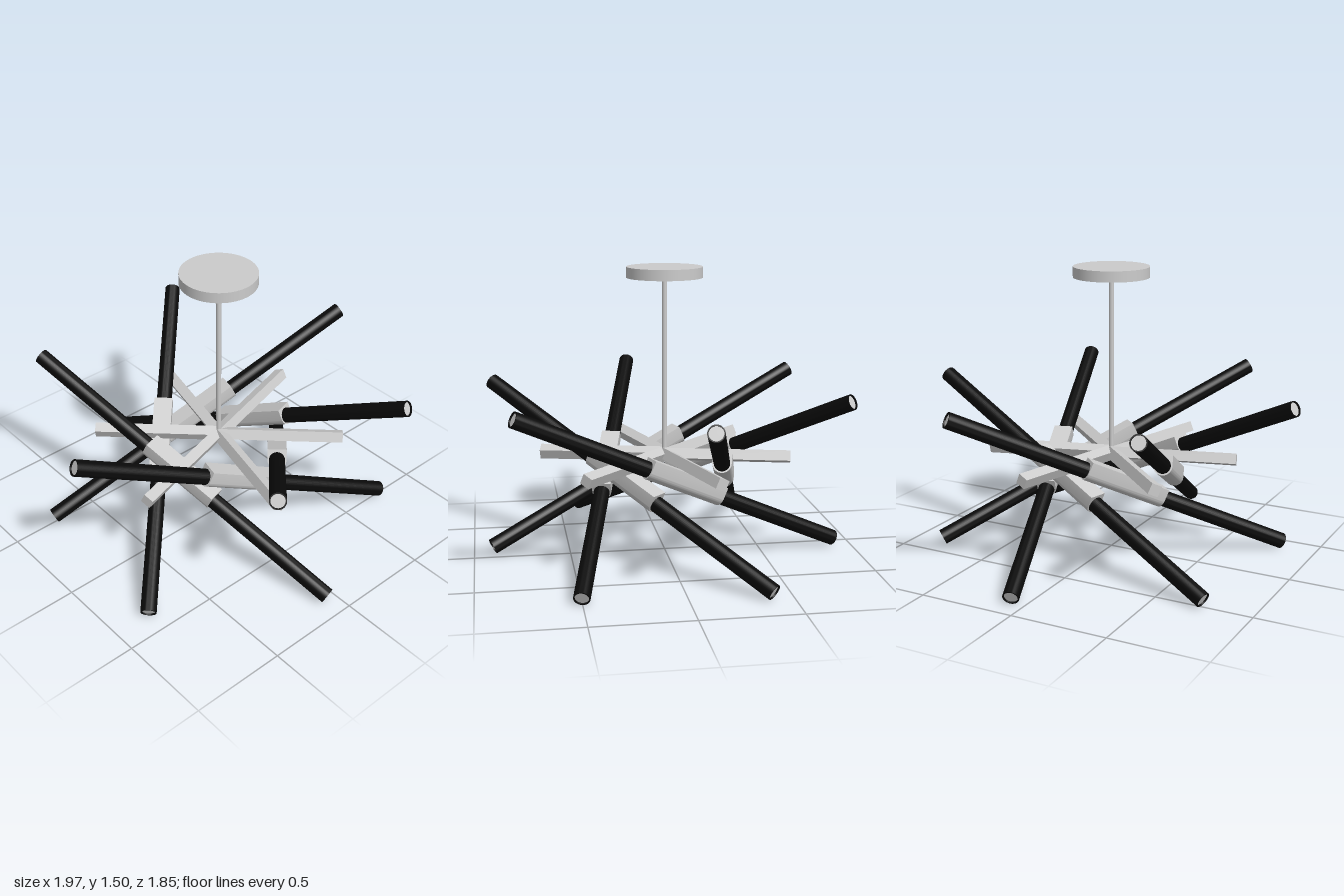
import * as THREE from 'three';
import { toCreasedNormals } from 'three/addons/utils/BufferGeometryUtils.js';

const TILT = THREE.MathUtils.degToRad(24.8);
const HALF = 0.975;      // half length of a light tube
const TUBE_R = 0.041;
const REACH = 0.31;      // distance of tubes from the centre
const HUB_Y = 0.528;
const BAR = 0.055;       // square section of the arms
const DROP = 0.0825;     // tube axis below arm axis

const grey = new THREE.MeshStandardMaterial({ color: 0xcccccc });
const black = new THREE.MeshStandardMaterial({ color: 0x0a0a0a });

function add(parent, name, geometry, material, x = 0, y = 0, z = 0) {
  const mesh = new THREE.Mesh(geometry, material);
  mesh.name = name;
  mesh.position.set(x, y, z);
  parent.add(mesh);
  return mesh;
}

// Black tube wall with turned-in rims at both ends, lying along x
function tubeGeometry() {
  const inner = TUBE_R - 0.006, lip = 0.008;
  const profile = [
    [inner, -HALF + lip], [inner, -HALF], [TUBE_R, -HALF],
    [TUBE_R, HALF], [inner, HALF], [inner, HALF - lip],
  ].map(([x, y]) => new THREE.Vector2(x, y));
  return toCreasedNormals(new THREE.LatheGeometry(profile, 32), 0.6).rotateZ(-Math.PI / 2);
}

// Sleeve: round underneath, flat on top, lying along x
function sleeveGeometry() {
  const r = 0.049, top = DROP - BAR / 2, length = 0.44;
  const shape = new THREE.Shape();
  shape.moveTo(r, top);
  shape.lineTo(-r, top);
  shape.lineTo(-r, 0);
  shape.absarc(0, 0, r, Math.PI, Math.PI * 2, false);
  shape.closePath();
  const g = new THREE.ExtrudeGeometry(shape, { depth: length, bevelEnabled: false, curveSegments: 20 });
  g.translate(0, 0, -length / 2).rotateY(Math.PI / 2);
  return toCreasedNormals(g, 0.6);
}

export function createModel() {
  const model = new THREE.Group();
  model.name = 'chandelier';

  // Ceiling plate and stem
  add(model, 'ceilingPlate', new THREE.CylinderGeometry(0.195, 0.195, 0.055, 64), grey, 0, 1.478, 0);
  add(model, 'stem', new THREE.CylinderGeometry(0.013, 0.013, 0.94, 24), grey, 0, 0.99, 0);

  const tube = tubeGeometry();
  const lens = new THREE.CylinderGeometry(TUBE_R - 0.006, TUBE_R - 0.006, HALF * 2 - 0.016, 32).rotateZ(Math.PI / 2);
  const sleeve = sleeveGeometry();
  const arm = new THREE.BoxGeometry(BAR, BAR, 0.655);

  // Six identical branches around the stem, each tilted about its own arm
  for (let i = 0; i < 6; i++) {
    const turn = new THREE.Group();
    turn.name = 'branch';
    turn.position.y = HUB_Y;
    turn.rotation.y = THREE.MathUtils.degToRad(-13.9 + i * 60);
    const tilt = new THREE.Group();
    tilt.name = 'tiltedBranch';
    tilt.rotation.z = TILT;
    turn.add(tilt);
    add(tilt, 'arm', arm, grey, 0, 0, -0.3275);
    add(tilt, 'sleeve', sleeve, grey, 0, -DROP, -REACH);
    add(tilt, 'lightTube', tube, black, 0, -DROP, -REACH);
    add(tilt, 'tubeLens', lens, grey, 0, -DROP, -REACH);
    model.add(turn);
  }
  return model;
}
